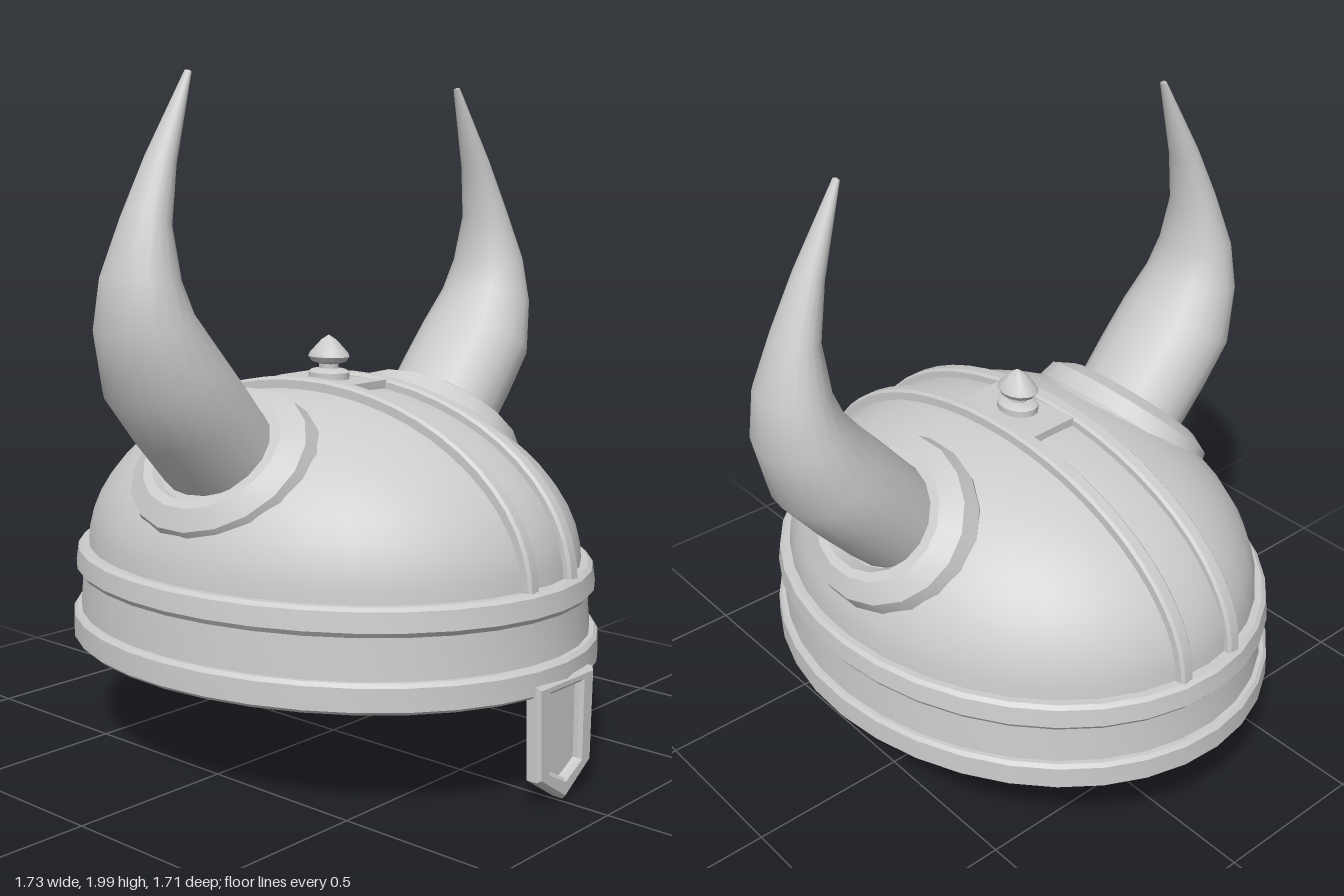
import * as THREE from 'three';
import { toCreasedNormals } from 'three/addons/utils/BufferGeometryUtils.js';

const DEPTH = 1.19; // plan is an ellipse, longer front to back
const material = new THREE.MeshStandardMaterial({ color: 0xcccccc });

function part(name, geometry, parent, crease = 0.6) {
  const mesh = new THREE.Mesh(crease ? toCreasedNormals(geometry, crease) : geometry, material);
  mesh.name = name;
  parent.add(mesh);
  return mesh;
}

function lathe(points, sides, depth) {
  const profile = points.map(([r, y]) => new THREE.Vector2(r, y));
  return new THREE.LatheGeometry(profile, sides).scale(1, 1, depth);
}

// Half-ellipse arch in the y-z plane, extruded across x
function archGeometry(width) {
  const bevel = 0.008;
  const shape = new THREE.Shape();
  shape.absellipse(0, 0.6, 0.81, 0.53, 0, Math.PI, false);
  shape.lineTo(-0.74, 0.6);
  shape.absellipse(0, 0.6, 0.74, 0.46, Math.PI, 0, true);
  const geometry = new THREE.ExtrudeGeometry(shape, {
    depth: width - 2 * bevel, curveSegments: 14,
    bevelEnabled: true, bevelSize: bevel, bevelThickness: bevel, bevelOffset: -bevel, bevelSegments: 1,
  });
  return geometry.translate(0, 0, bevel - width / 2).rotateY(-Math.PI / 2);
}

// Tapered oval sweep along a bent centre line: [x, y, radius]
function hornGeometry() {
  const line = [
    [0.40, 0.86, 0.15], [0.487, 0.955, 0.155], [0.59, 1.075, 0.157], [0.685, 1.19, 0.155],
    [0.745, 1.33, 0.125], [0.755, 1.45, 0.098], [0.732, 1.60, 0.063],
    [0.678, 1.76, 0.04], [0.574, 1.997, 0.009], [0.573, 2.0, 0],
  ];
  const sides = 20, positions = [], index = [];
  line.forEach(([x, y, r], i) => {
    const a = line[Math.max(i - 1, 0)], b = line[Math.min(i + 1, line.length - 1)];
    const t = new THREE.Vector2(b[0] - a[0], b[1] - a[1]).normalize();
    for (let j = 0; j < sides; j++) {
      const angle = (j / sides) * Math.PI * 2, c = r * Math.cos(angle);
      positions.push(x + c * t.y, y - c * t.x, 1.25 * r * Math.sin(angle));
      if (i === line.length - 1) continue;
      const p = i * sides + j, q = i * sides + ((j + 1) % sides);
      index.push(p, p + sides, q, q, p + sides, q + sides);
    }
  });
  const geometry = new THREE.BufferGeometry();
  geometry.setAttribute('position', new THREE.Float32BufferAttribute(positions, 3));
  geometry.setIndex(index);
  geometry.computeVertexNormals();
  return geometry;
}

// Outline of the nose guard: straight sides ending in a point
function pointedOutline(target, top, wTop, wLow, low, tip) {
  target.moveTo(-wTop, top);
  target.lineTo(-wLow, low);
  target.lineTo(0, tip);
  target.lineTo(wLow, low);
  target.lineTo(wTop, top);
  target.closePath();
  return target;
}

export function createModel() {
  const model = new THREE.Group();
  model.name = 'hornedHelmet';

  // Slightly turned shell: dome, bands, ribs, finial
  const shell = new THREE.Group();
  shell.name = 'shell';
  shell.position.set(-0.017, 0, -0.003);
  shell.rotation.y = 0.04;
  model.add(shell);

  const domeProfile = [];
  for (let i = 0; i <= 14; i++) {
    const a = (i / 14) * Math.PI / 2;
    domeProfile.push([0.67 * Math.cos(a), 0.595 + 0.51 * Math.sin(a)]);
  }
  part('dome', lathe(domeProfile, 36, DEPTH), shell);
  part('brimBands', lathe([
    [0, 0.325], [0.707, 0.325], [0.717, 0.335], [0.715, 0.4], [0.706, 0.411],
    [0.694, 0.411], [0.686, 0.53],
    [0.696, 0.53], [0.706, 0.545], [0.699, 0.6], [0.688, 0.61], [0.66, 0.61],
  ], 36, DEPTH), shell, 0.4);

  for (const side of [-1, 1]) {
    part(side < 0 ? 'rightRib' : 'leftRib', archGeometry(0.048), shell, 0.4).position.x = side * 0.1;
  }

  // Crown plate and spiked finial
  part('crownPlate', new THREE.BoxGeometry(0.17, 0.06, 0.315), shell).position.set(0, 1.088, 0);
  part('finial', lathe([
    [0.055, 1.11], [0.055, 1.138], [0.045, 1.146], [0.026, 1.15], [0.026, 1.163],
    [0.045, 1.17], [0.055, 1.185], [0.05, 1.197], [0.02, 1.235], [0, 1.25],
  ], 16, 1.25), shell);

  // Nose guard: back plate with a raised frame
  const guard = new THREE.Group();
  guard.name = 'noseGuard';
  guard.position.set(0.016, 0, 0.81);
  model.add(guard);
  const outer = () => pointedOutline(new THREE.Shape(), 0.36, 0.136, 0.128, 0.09, 0.008);
  part('noseGuardPlate', new THREE.ExtrudeGeometry(outer(), { depth: 0.018, bevelEnabled: false }), guard);
  const frame = outer();
  frame.holes.push(pointedOutline(new THREE.Path(), 0.327, 0.073, 0.07, 0.107, 0.07));
  part('noseGuardFrame', new THREE.ExtrudeGeometry(frame, {
    depth: 0.028, bevelEnabled: true, bevelSize: 0.01, bevelThickness: 0.01, bevelOffset: -0.01, bevelSegments: 1,
  }).translate(0, 0, 0.005), guard, 0.3);

  // Horns with tilted oval collars
  for (const side of [1, -1]) {
    const horn = new THREE.Group();
    horn.name = side > 0 ? 'leftHorn' : 'rightHorn';
    horn.rotation.y = side > 0 ? 0 : Math.PI;
    horn.position.set(-0.003, 0, side > 0 ? 0.016 : -0.003);
    model.add(horn);
    part('horn', hornGeometry(), horn, 0);
    const collar = lathe([
      [0.25, -0.12], [0.268, -0.06], [0.256, -0.005], [0.2, 0.028], [0.172, 0.028], [0.145, -0.02],
    ], 18, DEPTH);
    collar.rotateZ(-Math.PI / 4).translate(0.489, 0.939, 0);
    part('hornCollar', collar, horn, 0.45);
  }
  return model;
}
